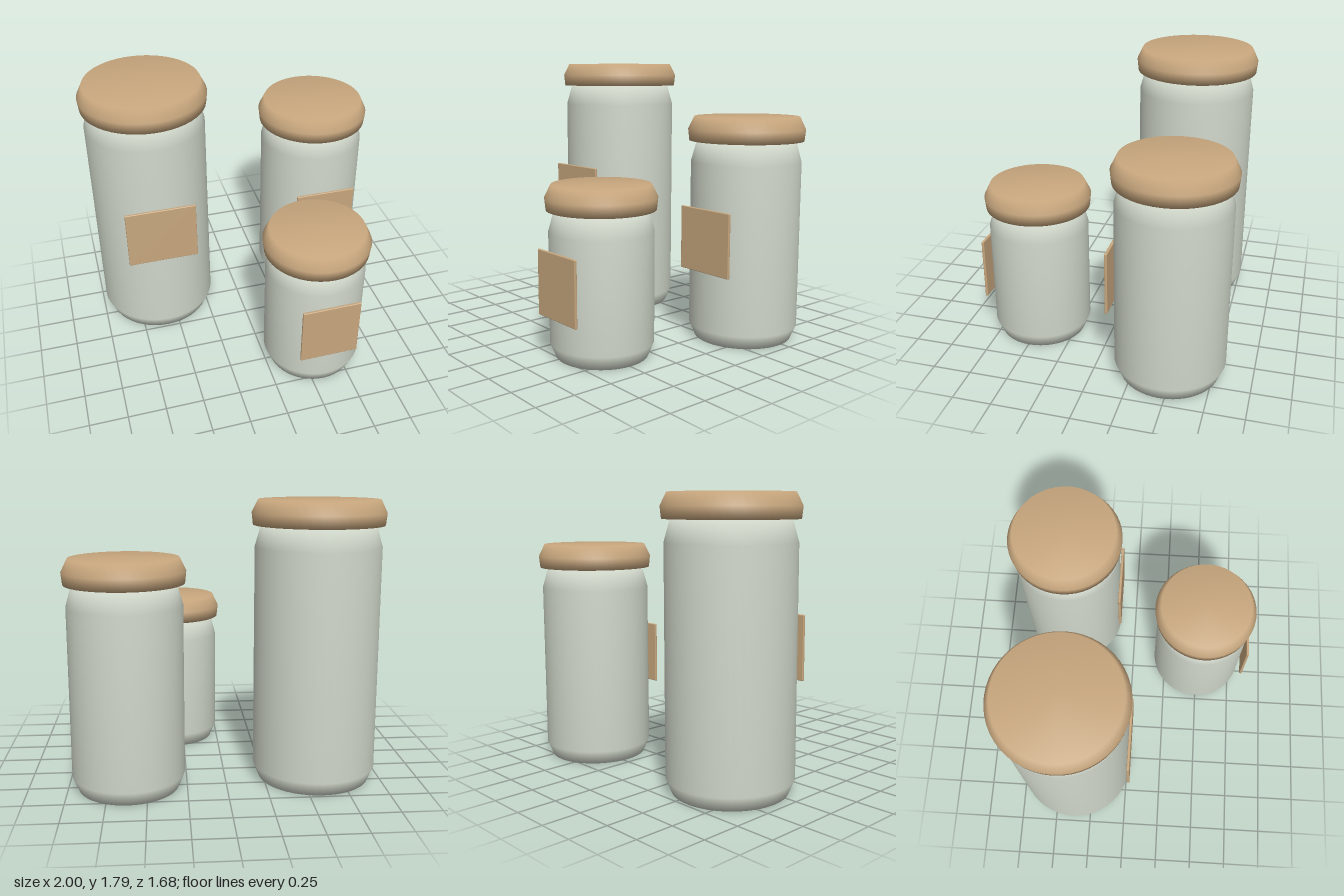
import * as THREE from 'three';
import { RoundedBoxGeometry } from 'three/addons/geometries/RoundedBoxGeometry.js';

const glaze = new THREE.MeshStandardMaterial({ color: 0xd0d7ca });
glaze.name = 'pale sage';
const wood = new THREE.MeshStandardMaterial({ color: 0xc8a77e });
wood.name = 'tan wood';

// Smooth turned shape from a [radius, height] profile, bottom to top
function turned(name, profile, material) {
  const points = profile.map(([r, y]) => new THREE.Vector2(r, y));
  const mesh = new THREE.Mesh(new THREE.LatheGeometry(points, 48), material);
  mesh.name = name;
  return mesh;
}

// One storage jar: r is the body radius, neck the height where the lid sits
function createJar(name, { x, z, r, neck, labelY }) {
  const jar = new THREE.Group();
  jar.name = name;
  jar.position.set(x, 0, z);

  // Body with bevelled foot and sloping shoulder
  jar.add(turned('body', [
    [0, 0], [r - 0.037, 0], [r, 0.09], [r, neck - 0.135], [r - 0.038, neck], [0, neck],
  ], glaze));

  // Overhanging lid
  const lid = turned('lid', [
    [0, 0], [r + 0.013, 0], [r + 0.021, 0.075], [r - 0.018, 0.155], [0, 0.155],
  ], wood);
  lid.position.y = neck;
  jar.add(lid);

  // Flat label plate on the front
  const label = new THREE.Mesh(new RoundedBoxGeometry(r * 1.19, 0.41, 0.018, 2, 0.005), wood);
  label.name = 'label';
  label.position.set(0, labelY, r + 0.006);
  jar.add(label);
  return jar;
}

export function createModel() {
  const model = new THREE.Group();
  model.name = 'jarSet';
  model.add(
    createJar('tallJar', { x: -0.583, z: -0.375, r: 0.395, neck: 1.64, labelY: 0.855 }),
    createJar('mediumJar', { x: 0.619, z: -0.469, r: 0.356, neck: 1.302, labelY: 0.68 }),
    createJar('smallJar', { x: 0.33, z: 0.492, r: 0.325, neck: 0.917, labelY: 0.478 }),
  );
  return model;
}
